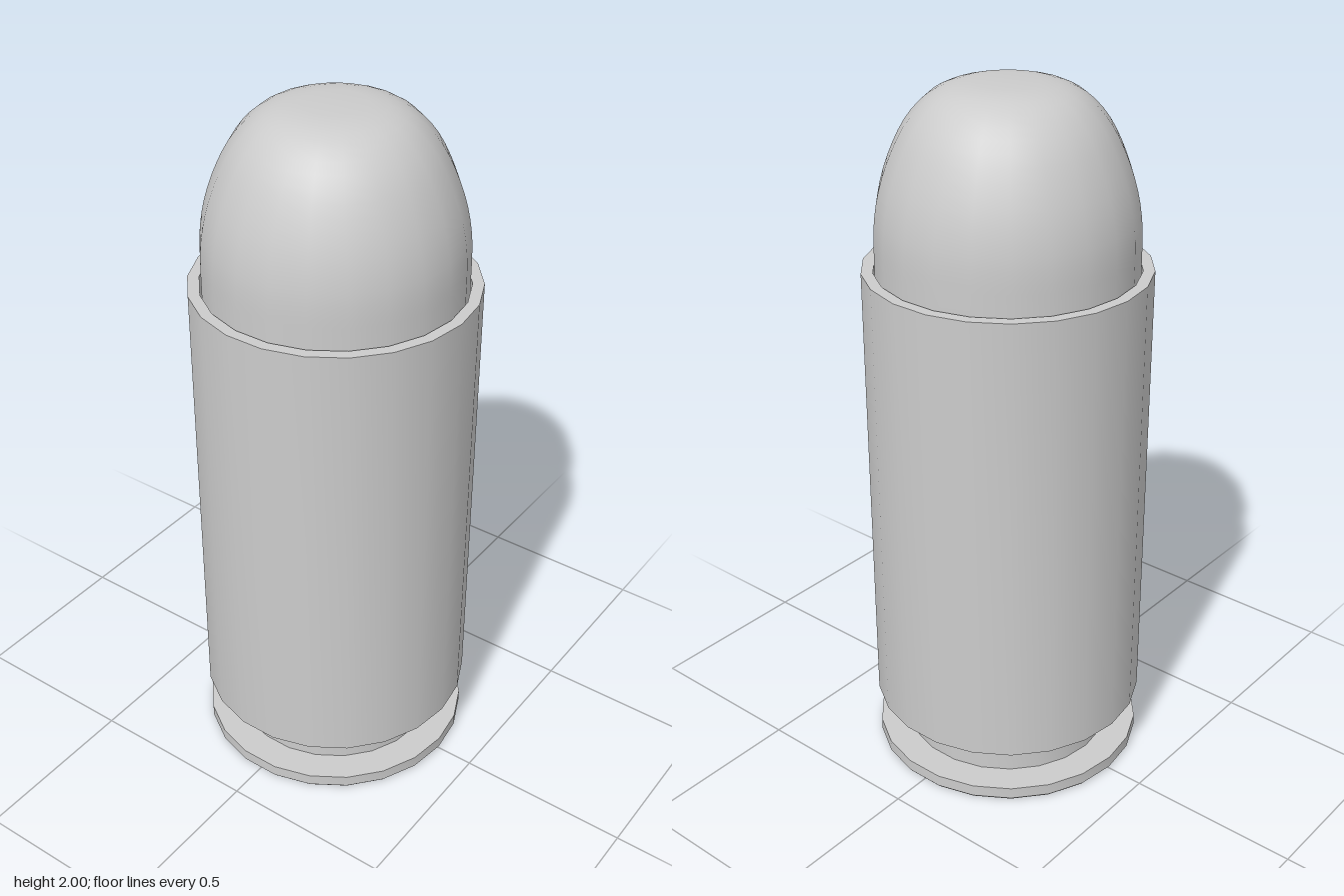
import * as THREE from 'three';
import { toCreasedNormals } from 'three/addons/utils/BufferGeometryUtils.js';

const SIDES = 22;

// Turn a [radius, height] profile around the y axis, keeping hard edges sharp
function turned(name, profile) {
  const points = profile.map(([r, y]) => new THREE.Vector2(r, y));
  const geometry = toCreasedNormals(new THREE.LatheGeometry(points, SIDES), Math.PI / 5);
  const mesh = new THREE.Mesh(geometry, new THREE.MeshStandardMaterial({ color: 0xcccccc }));
  mesh.name = name;
  return mesh;
}

export function createModel() {
  const group = new THREE.Group();
  group.name = 'cartridge';

  // Hollow case: primer pocket, rim, extractor groove, body, open mouth
  group.add(turned('case', [
    [0.133, 0.12], [0.133, 0],
    [0.385, 0], [0.39, 0.006], [0.39, 0.04],
    [0.302, 0.04], [0.302, 0.14],
    [0.394, 0.165], [0.394, 1.502],
    [0.362, 1.502], [0.362, 1.2], [0, 1.2],
  ]));

  // Recessed primer at the end of the pocket
  group.add(turned('primer', [[0, 0.1], [0.133, 0.1]]));

  // Round-nosed bullet with a small flat tip, seated in the mouth
  const nose = new THREE.SplineCurve([
    [0.357, 1.56], [0.354, 1.64], [0.338, 1.73], [0.307, 1.82], [0.265, 1.9],
    [0.21, 1.96], [0.15, 1.99], [0.085, 2],
  ].map(([r, y]) => new THREE.Vector2(r, y)));
  group.add(turned('bullet', [
    [0, 1.25], [0.357, 1.25],
    ...nose.getPoints(18).map((p) => [p.x, Math.min(p.y, 2)]),
    [0, 2],
  ]));

  return group;
}
